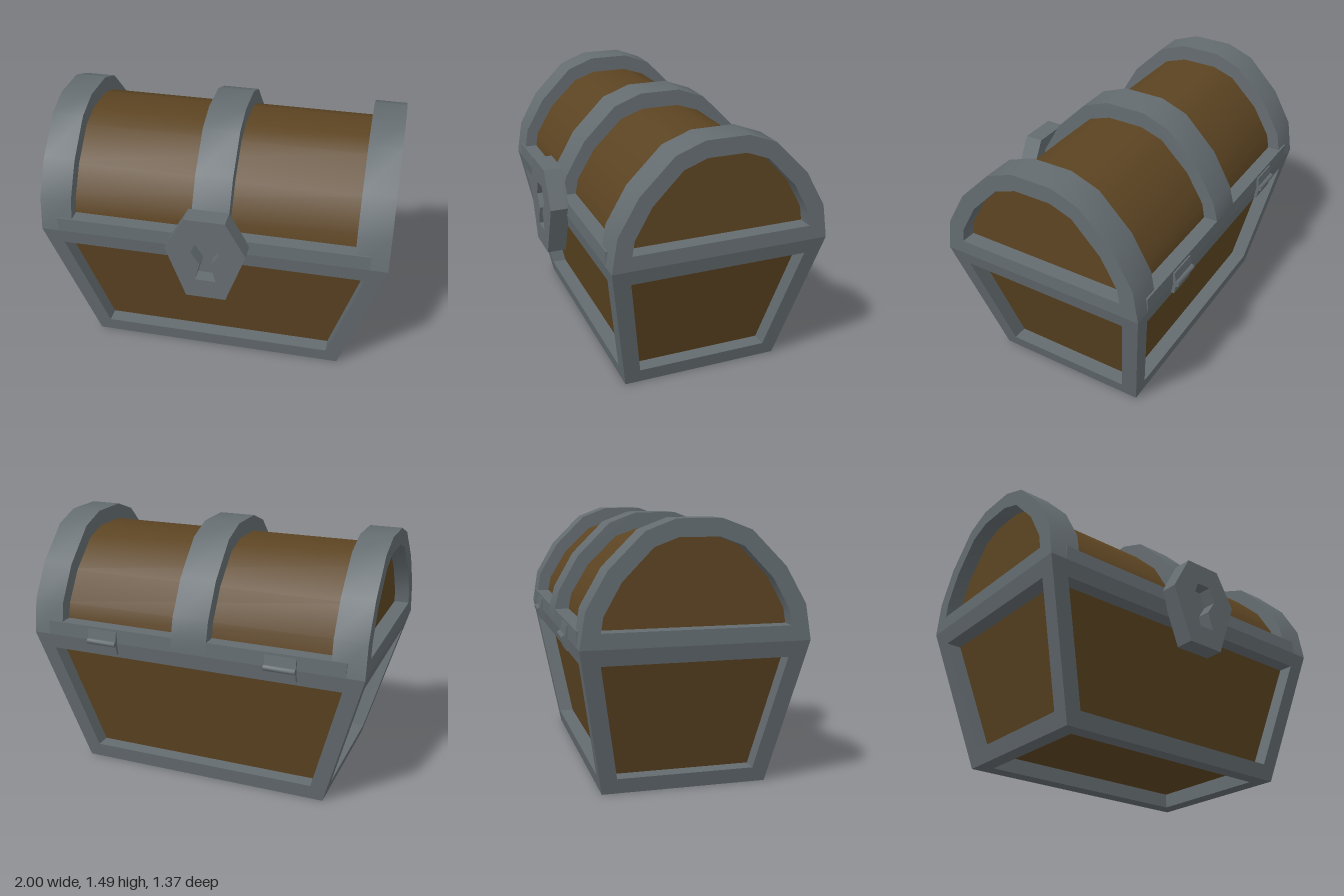
import * as THREE from 'three';
import { toCreasedNormals } from 'three/addons/utils/BufferGeometryUtils.js';

const iron = new THREE.MeshStandardMaterial({ color: 0x646c70 });
iron.name = 'iron';
const wood = new THREE.MeshStandardMaterial({ color: 0x5c4422 });
wood.name = 'wood';

const RIM_Y = 0.845;
const LEDGE_Y = 0.928;
const SINK = 0.088; // how far the wood lies behind the ironwork

// Half profiles of the lid as [z, y], from the rim up to the crown
const archTop = [[0.585, 1.04], [0.47, 1.24], [0.28, 1.43], [0.12, 1.49]];
const archOuter = [[0.6175, RIM_Y], ...archTop];
const archInner = [[0.508, LEDGE_Y], [0.495, 1.01], [0.4, 1.18], [0.235, 1.35], [0.107, 1.397]];
const archWood = [[0.533, LEDGE_Y - 0.01], [0.515, 1.015], [0.41, 1.19], [0.24, 1.353], [0.108, 1.398]];
const rim = [[0.6175, RIM_Y], [0.6145, LEDGE_Y]];

const toPoints = (pts) => pts.map(([a, b]) => new THREE.Vector2(a, b));
const mirrored = (half) => toPoints([...half, ...half.map(([z, y]) => [-z, y]).reverse()]);

function add(parent, name, geometry, material) {
  const mesh = new THREE.Mesh(geometry, material);
  mesh.name = name;
  parent.add(mesh);
  return mesh;
}

// Extrudes a [z, y] profile along x between x0 and x1
function alongX(profile, x0, x1, hole) {
  const shape = new THREE.Shape(profile);
  if (hole) shape.holes.push(new THREE.Path(hole));
  const geo = new THREE.ExtrudeGeometry(shape, { depth: x1 - x0, bevelEnabled: false });
  geo.rotateY(-Math.PI / 2);
  geo.translate(x1, 0, 0);
  return toCreasedNormals(geo, 0.6);
}

// Flat-shaded geometry from quads of four corners
function quads(list) {
  const pos = [];
  for (const [a, b, c, d] of list) for (const p of [a, b, c, a, c, d]) pos.push(p.x, p.y, p.z);
  const geo = new THREE.BufferGeometry();
  geo.setAttribute('position', new THREE.Float32BufferAttribute(pos, 3));
  geo.computeVertexNormals();
  return geo;
}

// Iron frame around an opening, with a wooden panel sunk into it along inward
function framedFace(parent, name, outer, opening, inward) {
  const sunk = opening.map((p) => p.clone().addScaledVector(inward, SINK));
  const strip = (a, b) => a.map((p, i) => {
    const j = (i + 1) % a.length;
    return [p, a[j], b[j], b[i]];
  });
  add(parent, name + 'Frame', quads([...strip(outer, opening), ...strip(opening, sunk)]), iron);
  add(parent, name + 'Panel', quads([sunk]), wood);
}

// Tapered box: corner i at height y, counter-clockwise from front right
const signs = [[-1, 1], [1, 1], [1, -1], [-1, -1]];
function corner(i, y) {
  const [sx, sz] = signs[i % 4];
  const t = y / RIM_Y;
  return new THREE.Vector3(sx * (0.76 + 0.24 * t), y, sz * (0.4675 + 0.15 * t));
}

function buildBody() {
  const body = new THREE.Group();
  body.name = 'body';
  const inset = 0.096;
  ['front', 'left', 'back', 'right'].forEach((name, i) => {
    const edge = (y) => {
      const a = corner(i, y), b = corner(i + 1, y);
      const d = b.clone().sub(a).setLength(inset);
      return [a.add(d), b.sub(d)];
    };
    const [p, q] = edge(0.09);
    const [s, r] = edge(0.755);
    const angle = i * Math.PI / 2;
    framedFace(body, name,
      [corner(i, 0), corner(i + 1, 0), corner(i + 1, RIM_Y), corner(i, RIM_Y)],
      [p, q, r, s], new THREE.Vector3(-Math.sin(angle), 0, -Math.cos(angle)));
  });
  const base = [3, 2, 1, 0].map((i) => corner(i, 0));
  const hole = base.map((p) => new THREE.Vector3(
    p.x - Math.sign(p.x) * 0.09, 0, p.z - Math.sign(p.z) * 0.09));
  framedFace(body, 'bottom', base, hole, new THREE.Vector3(0, 1, 0));
  return body;
}

function buildLid() {
  const lid = new THREE.Group();
  lid.name = 'lid';
  // Wooden barrel, whose ends are the sunken end panels
  add(lid, 'lidBarrel', alongX(mirrored(archWood), SINK - 1, 1 - SINK), wood);
  // Rim ledge below the barrel
  add(lid, 'lidRim', alongX(mirrored(rim), -0.9, 0.9), iron);
  // Arched bands
  const outer = mirrored(archOuter), inner = mirrored(archInner);
  add(lid, 'middleBand', alongX(mirrored([...rim, ...archTop]), -0.107, 0.107), iron);
  add(lid, 'leftBand', alongX(outer, 0.815, 1, inner), iron);
  add(lid, 'rightBand', alongX(outer, -1, -0.815, inner), iron);
  return lid;
}

function buildLock() {
  const lock = new THREE.Group();
  lock.name = 'lock';
  const shape = new THREE.Shape(toPoints([
    [-0.115, 0.58], [0.115, 0.58], [0.23, 0.895], [0.115, 1.1], [-0.115, 1.1], [-0.23, 0.895]]));
  const keyhole = toPoints([
    [-0.06, 0.7], [-0.03, 0.81], [-0.08, 0.885], [-0.045, 0.972],
    [0.045, 0.972], [0.08, 0.885], [0.03, 0.81], [0.06, 0.7]]);
  const back = new THREE.ExtrudeGeometry(shape, { depth: 0.03, bevelEnabled: false });
  add(lock, 'lockBack', back, iron);
  shape.holes.push(new THREE.Path(keyhole));
  const plate = new THREE.ExtrudeGeometry(shape, { depth: 0.08, bevelEnabled: false });
  add(lock, 'lockPlate', plate, iron).position.z = 0.03;
  lock.position.z = 0.6075;
  return lock;
}

function buildHinge(x) {
  const hinge = new THREE.Group();
  hinge.name = 'hinge';
  const leaf = new THREE.BoxGeometry(0.18, 0.065, 0.025);
  const upper = add(hinge, 'upperLeaf', leaf, iron);
  upper.position.set(0, 0.88, -0.617);
  upper.rotation.x = 0.165;
  const lower = add(hinge, 'lowerLeaf', leaf, iron);
  lower.position.set(0, 0.81, -0.617);
  lower.rotation.x = -0.176;
  const pin = toCreasedNormals(new THREE.CylinderGeometry(0.0175, 0.0175, 0.18, 8), 0.9);
  pin.rotateZ(Math.PI / 2);
  add(hinge, 'hingePin', pin, iron).position.set(0, RIM_Y, -0.635);
  hinge.position.x = x;
  return hinge;
}

export function createModel() {
  const chest = new THREE.Group();
  chest.name = 'chest';
  chest.add(buildBody(), buildLid(), buildLock(), buildHinge(0.54), buildHinge(-0.54));
  chest.position.z = -0.0325; // the lock sticks out further than the hinges
  const model = new THREE.Group();
  model.name = 'treasureChest';
  model.add(chest);
  return model;
}
